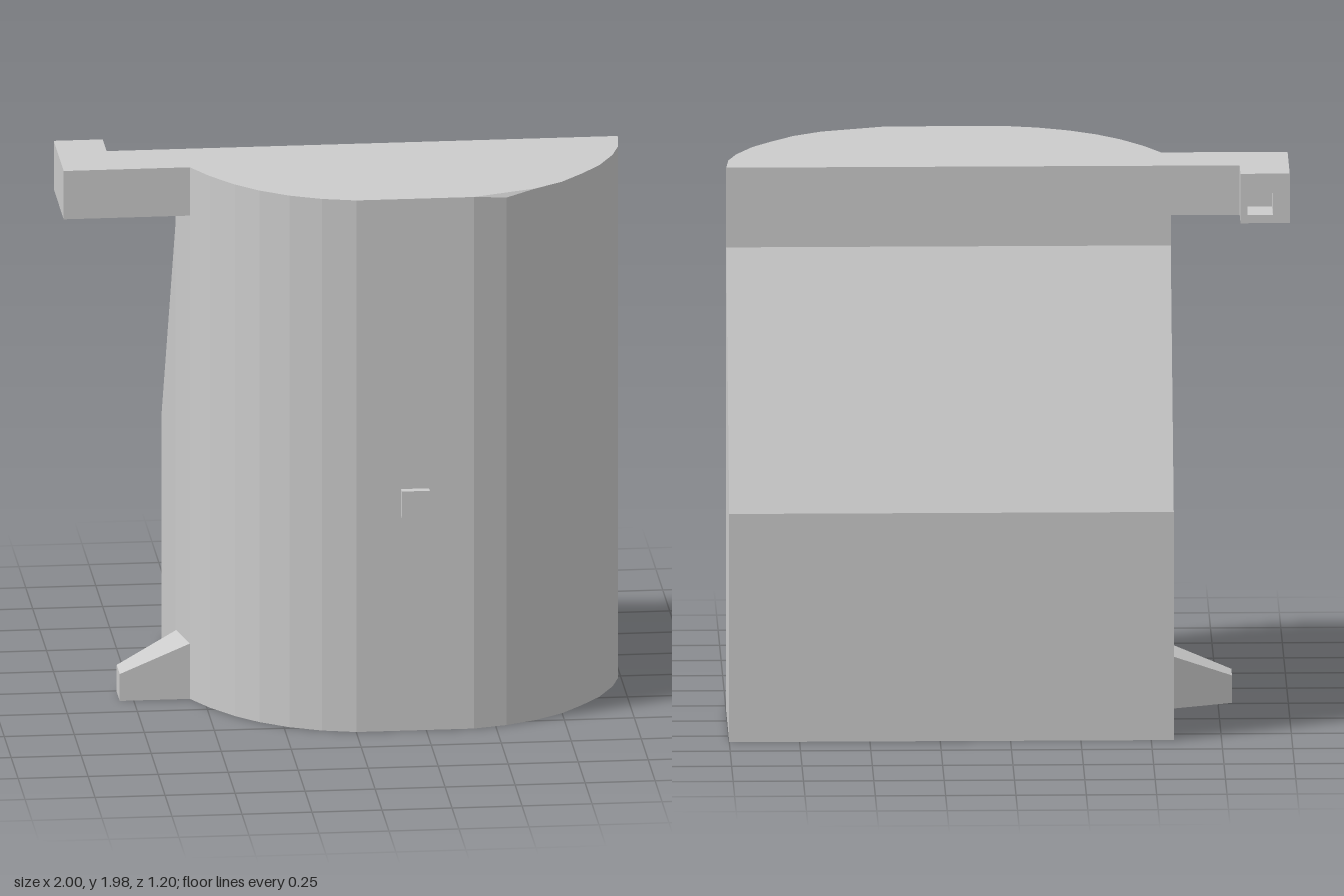
import * as THREE from 'three';
import { ConvexGeometry } from 'three/addons/geometries/ConvexGeometry.js';

const material = new THREE.MeshStandardMaterial({ color: 0xcccccc, flatShading: true });
const H = 1.98;

const toShape = (points) => new THREE.Shape(points.map(([a, b]) => new THREE.Vector2(a, b)));

// Extrudes an [x, z] outline upwards from y0 to y1
function plan(points, y0, y1) {
  const g = new THREE.ExtrudeGeometry(toShape(points.map(([x, z]) => [x, -z])), { depth: y1 - y0, bevelEnabled: false });
  return g.rotateX(-Math.PI / 2).translate(0, y0, 0);
}

export function createModel() {
  const group = new THREE.Group();
  const add = (name, geometry) => {
    const mesh = new THREE.Mesh(geometry, material);
    mesh.name = name;
    group.add(mesh);
  };

  // Rounded front, with one rim corner slightly dipped
  const front = plan([
    [1, -0.1], [0.99, 0.02], [0.96, 0.12], [0.9, 0.24], [0.83, 0.33], [0.75, 0.42], [0.65, 0.49],
    [0.54, 0.54], [0.42, 0.57], [0, 0.57], [-0.12, 0.54], [-0.23, 0.49], [-0.33, 0.42],
    [-0.41, 0.34], [-0.49, 0.23], [-0.55, 0.12], [-0.58, -0.1],
  ], 0, H);
  const p = front.attributes.position;
  for (let i = 0; i < p.count; i++) {
    if (p.getY(i) > 1 && Math.abs(p.getX(i) - 0.54) < 0.01) p.setY(i, H - 0.015);
  }
  add('roundedFront', front);

  // Rear block with its sloping back, drawn from the side
  const rear = new THREE.ExtrudeGeometry(
    toShape([[0.1, 0], [0.6, 0], [0.6, 0.83], [0.1, 1.69]]), { depth: 1.58, bevelEnabled: false });
  add('slopedRear', rear.rotateY(Math.PI / 2).translate(-0.58, 0, 0));

  // Side arm at the top
  add('sideArm', plan([[-1, -0.1], [-1, 0.12], [-0.54, 0.12], [-0.54, -0.1]], 1.8, H));

  // Hook at the end of the arm, with a small pocket in its back
  const hook = toShape([[-1, 1.8], [-0.825, 1.8], [-0.825, H], [-1, H]]);
  hook.holes.push(new THREE.Path(
    [[-0.94, 1.83], [-0.94, 1.91], [-0.85, 1.91], [-0.85, 1.83]].map(([x, y]) => new THREE.Vector2(x, y))));
  add('armHook', new THREE.ExtrudeGeometry(hook, { depth: 0.14, bevelEnabled: false }).translate(0, 0, -0.24));

  // Tapered foot at the bottom: wide against the body, narrow at the tip
  const foot = [];
  for (const [x, top, back] of [[-0.54, 0.21, -0.1], [-0.8, 0.1, 0.01]]) {
    for (const y of [0, top]) for (const z of [back, 0.12]) foot.push(new THREE.Vector3(x, y, z));
  }
  add('taperedFoot', new ConvexGeometry(foot));

  // Small button on the front
  add('frontButton', new THREE.BoxGeometry(0.1, 0.1, 0.05).translate(0.21, 0.85, 0.575));

  return group;
}
